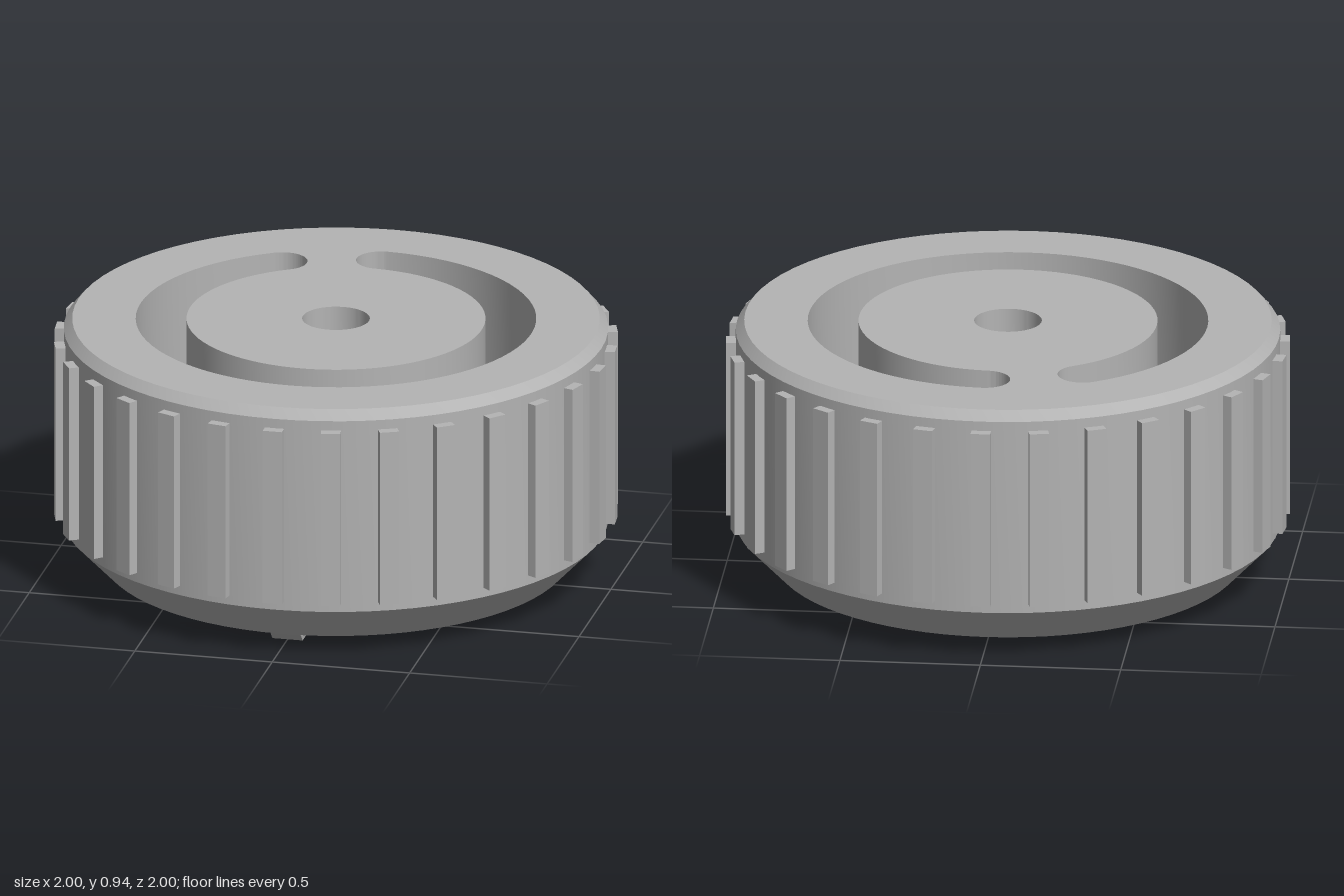
import * as THREE from 'three';
import { toCreasedNormals } from 'three/addons/utils/BufferGeometryUtils.js';

const rad = THREE.MathUtils.degToRad;

export function createModel() {
  const knob = new THREE.Group();
  knob.name = 'knob';
  const grey = new THREE.MeshStandardMaterial({ color: 0xb4b4b4 });
  grey.name = 'grey plastic';

  const add = (name, geometry, parent = knob) => {
    const mesh = new THREE.Mesh(geometry, grey);
    mesh.name = name;
    parent.add(mesh);
    return mesh;
  };

  const top = 0.94, base = 0.045, floor = 0.49;

  // Chamfered outer shell with a closed base
  const profile = [[0, base], [0.83, base], [0.965, 0.185], [0.965, 0.905], [0.935, top]]
    .map(([r, y]) => new THREE.Vector2(r, y));
  add('shell', toCreasedNormals(new THREE.LatheGeometry(profile, 72), 0.4));

  // Top face with a shaft hole and a C-shaped groove with round ends
  const face = new THREE.Shape().absarc(0, 0, 0.935, 0, Math.PI * 2, false);
  const shaft = new THREE.Path().absarc(0, 0, 0.12, 0, Math.PI * 2, true);
  const inner = 0.53, outer = 0.71;
  const mid = (inner + outer) / 2, half = (outer - inner) / 2;
  const a0 = rad(121), a1 = rad(448);
  const groove = new THREE.Path();
  groove.absarc(0, 0, outer, a0, a1, false);
  groove.absarc(mid * Math.cos(a1), mid * Math.sin(a1), half, a1, a1 + Math.PI, false);
  groove.absarc(0, 0, inner, a1, a0, true);
  groove.absarc(mid * Math.cos(a0), mid * Math.sin(a0), half, a0 + Math.PI, a0 + 2 * Math.PI, false);
  face.holes.push(shaft, groove);
  const faceGeometry = new THREE.ExtrudeGeometry(face, {
    depth: top - floor, bevelEnabled: false, curveSegments: 36,
  });
  faceGeometry.rotateX(-Math.PI / 2).translate(0, floor, 0);
  add('topFace', toCreasedNormals(faceGeometry, 0.4));

  // Floor of the groove and shaft hole
  const floorGeometry = new THREE.CircleGeometry(0.8, 48);
  floorGeometry.rotateX(-Math.PI / 2).translate(0, floor + 0.002, 0);
  add('recessFloor', floorGeometry);

  // Grip ribs around the side
  const ribs = new THREE.Group();
  ribs.name = 'gripRibs';
  knob.add(ribs);
  const ribGeometry = new THREE.BoxGeometry(0.07, 0.65, 0.06).translate(0, 0.545, 0.97);
  for (let i = 0; i < 30; i++) {
    add('gripRib', ribGeometry, ribs).rotation.y = rad(i * 12);
  }

  // Pointer bar under the base with a sloped outer end
  const bar = new THREE.Shape([[0.25, 0], [0.76, 0], [0.81, 0.05], [0.25, 0.05]]
    .map(([z, y]) => new THREE.Vector2(z, y)));
  const barGeometry = new THREE.ExtrudeGeometry(bar, { depth: 0.11, bevelEnabled: false });
  barGeometry.rotateY(-Math.PI / 2).translate(0.055, 0, 0);
  add('pointerBar', barGeometry);

  return knob;
}
